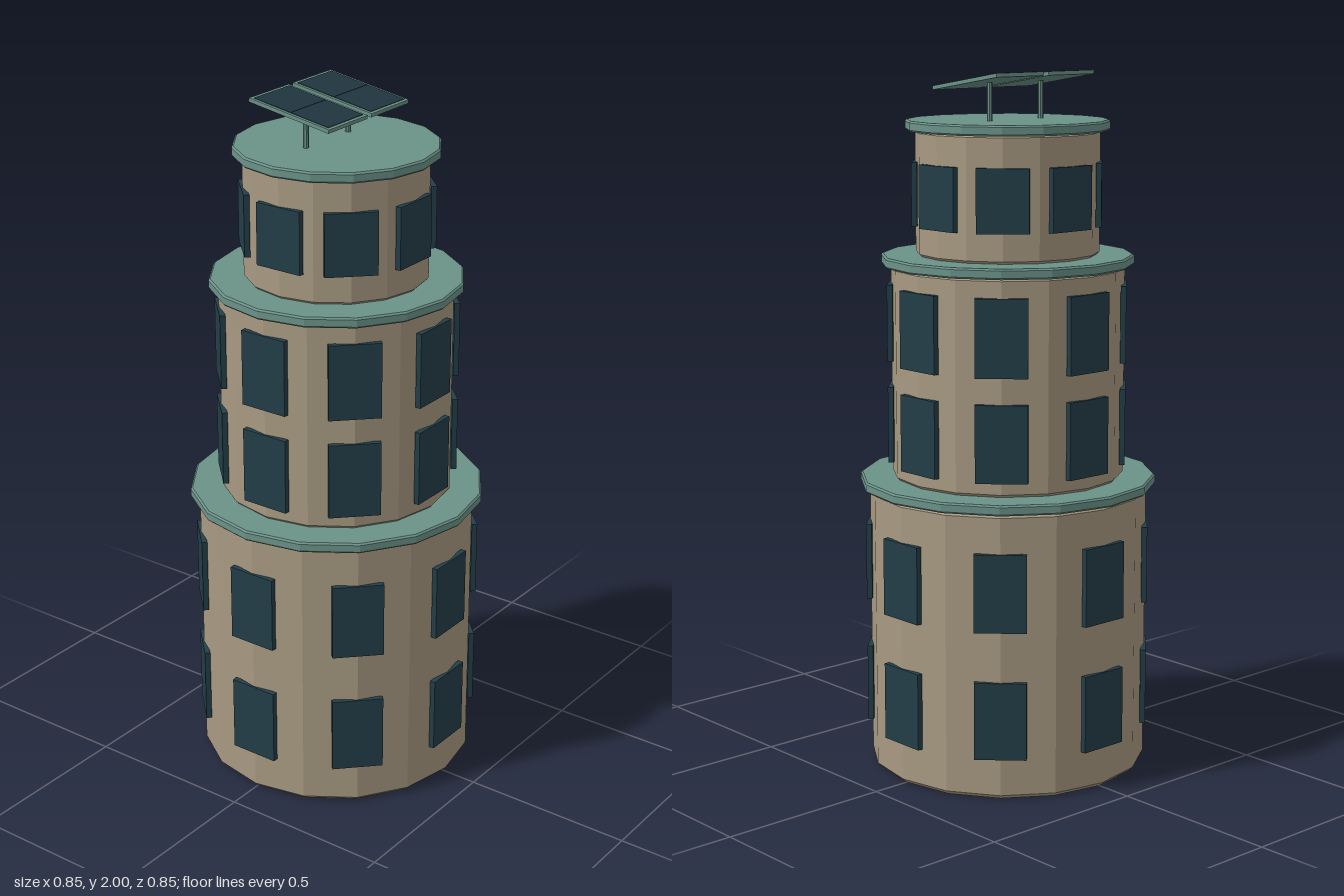
import * as THREE from 'three';

const material = (color) => new THREE.MeshStandardMaterial({ color, flatShading: true });

export function createModel() {
  const model = new THREE.Group();
  model.name = 'tieredTower';
  const wall = material(0xa89a82);
  const trim = material(0x6b9389);
  const glass = material(0x233e48);
  const cell = material(0x20363f);

  const add = (parent, name, geometry, mat, x = 0, y = 0, z = 0) => {
    const mesh = new THREE.Mesh(geometry, mat);
    mesh.name = name;
    mesh.position.set(x, y, z);
    parent.add(mesh);
    return mesh;
  };

  // Sixteen-sided drum with small chamfers on both rims
  const drum = (radius, y0, y1, c) => new THREE.LatheGeometry([
    [0, y0], [radius - c, y0], [radius, y0 + c],
    [radius, y1 - c], [radius - c, y1], [0, y1],
  ].map(([r, y]) => new THREE.Vector2(r, y)), 16);

  const tiers = [
    { name: 'lower', r: 0.4, y0: 0, y1: 0.82, roofR: 0.426, roofTop: 0.849, h: 0.222, rows: [0.229, 0.595] },
    { name: 'middle', r: 0.333, y0: 0.845, y1: 1.46, roofR: 0.36, roofTop: 1.485, h: 0.219, rows: [0.999, 1.292] },
    { name: 'upper', r: 0.261, y0: 1.48, y1: 1.84, roofR: 0.289, roofTop: 1.863, h: 0.178, rows: [1.657] },
  ];

  for (const t of tiers) {
    const tier = new THREE.Group();
    tier.name = `${t.name}Tier`;
    model.add(tier);
    add(tier, `${t.name}Wall`, drum(t.r, t.y0, t.y1, 0.012), wall);
    add(tier, `${t.name}Roof`, drum(t.roofR, t.roofTop - 0.03, t.roofTop, 0.005), trim);

    // Eight windows around each storey
    const pane = new THREE.BoxGeometry(0.146, t.h, 0.016);
    for (const y of t.rows) {
      for (let i = 0; i < 8; i++) {
        const a = (i * Math.PI) / 4;
        const d = t.r - 0.003;
        const win = add(tier, `${t.name}Window`, pane, glass, d * Math.sin(a), y, d * Math.cos(a));
        win.rotation.y = a;
      }
    }
  }

  // Pair of tilted solar panels on posts
  for (const side of [-1, 1]) {
    const x = side * 0.096;
    const post = new THREE.CylinderGeometry(0.008, 0.008, 0.11, 8);
    add(model, 'panelPost', post, trim, x, 1.913, -0.033);

    const panel = new THREE.Group();
    panel.name = 'solarPanel';
    panel.position.set(x, 1.973, -0.025);
    panel.rotation.x = 0.157;
    model.add(panel);
    add(panel, 'panelFrame', new THREE.BoxGeometry(0.174, 0.011, 0.27), trim);
    for (const end of [-1, 1]) {
      add(panel, 'solarCell', new THREE.BoxGeometry(0.156, 0.004, 0.125), cell, 0, 0.005, end * 0.0632);
    }
  }
  return model;
}
